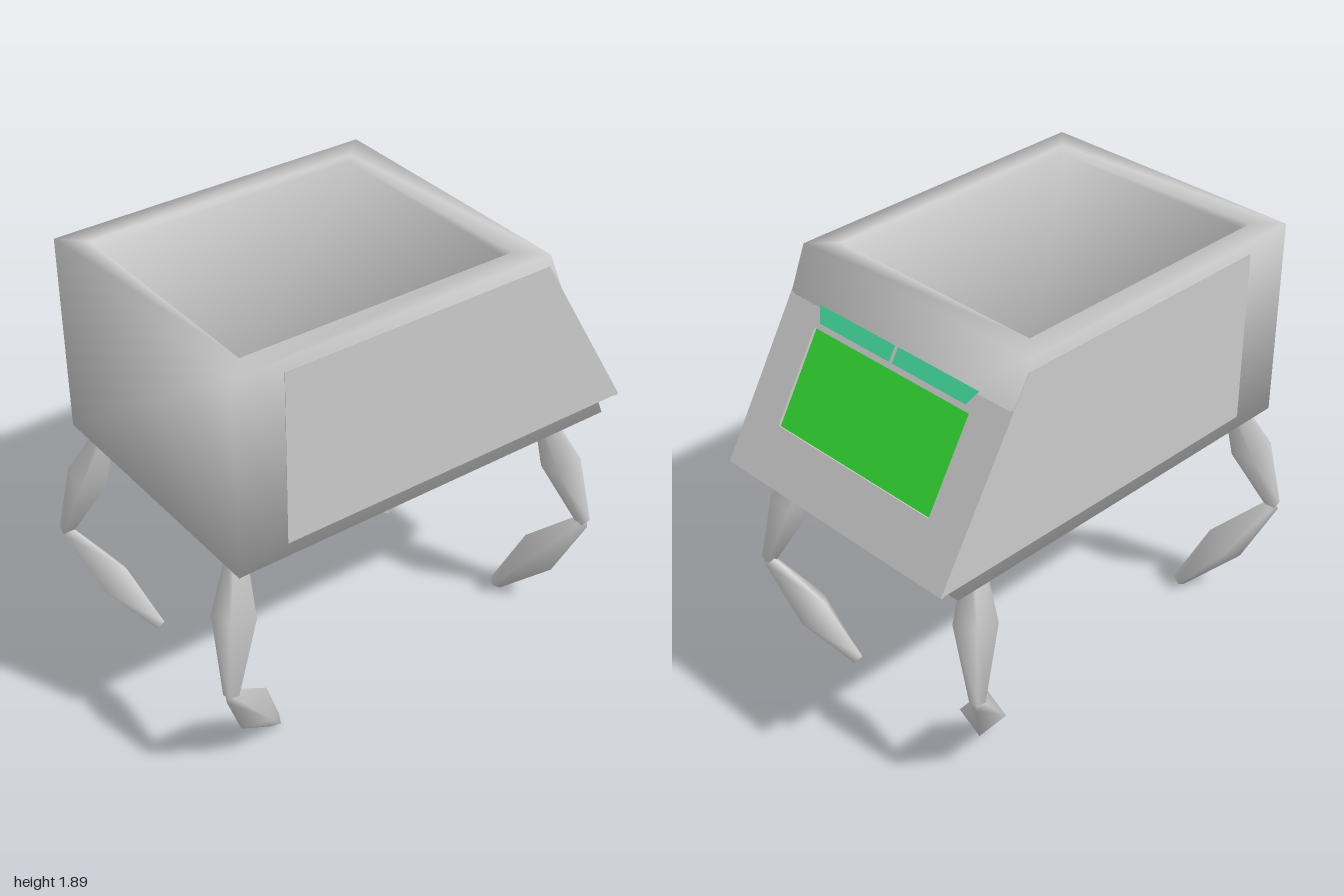
import * as THREE from 'three';

const mat = (color = 0xcccccc, side = THREE.FrontSide) =>
  new THREE.MeshStandardMaterial({ color, side });

function part(name, geometry, material, parent) {
  const mesh = new THREE.Mesh(geometry, material);
  mesh.name = name;
  parent.add(mesh);
  return mesh;
}

// Wedge-fronted body: four rectangular rings joined upward, then inward and down into a shallow tray.
// Corner normals are shared, so the shading runs softly round every edge.
function hullGeometry() {
  const rings = [ // x0, x1, half depth, y, outward tilt and lift of the corner normals
    [-0.9, 0.914, 0.613, 1.02, 1, -1],
    [-0.9, 0.552, 0.613, 1.89, 1, 1],
    [-0.8, 0.445, 0.512, 1.89, -0.3, 1],
    [-0.8, 0.445, 0.512, 1.855, -1, 1],
  ];
  const corners = [[-1, 1], [1, 1], [1, -1], [-1, -1]];
  const pos = [], normals = [], idx = [];
  for (const [x0, x1, z, y, tilt, lift] of rings) {
    for (const [sx, sz] of corners) {
      pos.push(sx < 0 ? x0 : x1, y, sz * z);
      normals.push(...new THREE.Vector3(sx * tilt, lift, sz * tilt).normalize().toArray());
    }
  }
  for (let r = 0; r < 3; r++) {
    for (let i = 0; i < 4; i++) {
      const a = r * 4 + i, b = r * 4 + (i + 1) % 4;
      idx.push(a, b, b + 4, a, b + 4, a + 4);
    }
  }
  idx.push(0, 2, 1, 0, 3, 2, 12, 13, 14, 12, 14, 15);
  const g = new THREE.BufferGeometry();
  g.setAttribute('position', new THREE.Float32BufferAttribute(pos, 3));
  g.setAttribute('normal', new THREE.Float32BufferAttribute(normals, 3));
  g.setIndex(idx);
  return g;
}

const polygon = (pts) => new THREE.Shape(pts.map(([x, y]) => new THREE.Vector2(x, y)));

// Extrusion of an x-y outline between two z positions
function slab(pts, z0, z1) {
  const g = new THREE.ExtrudeGeometry(polygon(pts), { depth: z1 - z0, bevelEnabled: false });
  return g.translate(0, 0, z0);
}

// Four-sided spindle from a to b, thick in the middle
function limb(name, a, b, rEnd, rMid, t, parent) {
  const dir = new THREE.Vector3().subVectors(b, a), len = dir.length();
  const profile = [[0, 0], [rEnd, 0], [rMid, len * t], [rEnd, len], [0, len]];
  const g = new THREE.LatheGeometry(
    profile.map(([x, y]) => new THREE.Vector2(x, y)), 4, Math.PI / 4);
  const mesh = part(name, g, mat(), parent);
  mesh.position.copy(a);
  mesh.quaternion.setFromUnitVectors(new THREE.Vector3(0, 1, 0), dir.normalize());
}

export function createModel() {
  const model = new THREE.Group();
  model.name = 'walkingTub';

  part('hull', hullGeometry(), mat(), model);

  // Side cladding, one plate on each flank
  const outline = [[-0.68, 1.08], [1, 1.08], [0.55, 1.84], [-0.68, 1.84]];
  part('leftSidePlate', slab(outline, 0.6, 0.615), mat(), model);
  part('rightSidePlate', slab(outline, -0.615, -0.6), mat(), model);

  // Filled nose behind the sloping front plate
  part('noseWedge', slab([[0.6, 1.08], [0.983, 1.08], [0.614, 1.7], [0.6, 1.7]], -0.61, 0.61),
    mat(), model);

  // Sloping front: local x runs across, local y up the slope, local z outward
  const front = new THREE.Group();
  front.name = 'slopingFront';
  const up = new THREE.Vector3(-0.45, 0.76, 0).normalize();
  const across = new THREE.Vector3(0, 0, -1);
  const out = new THREE.Vector3().crossVectors(across, up);
  front.quaternion.setFromRotationMatrix(new THREE.Matrix4().makeBasis(across, up, out));
  front.position.set(1, 1.08, 0);
  model.add(front);

  const s = (y) => (y - 1.08) / up.y; // height to distance along the slope
  const sLow = s(1.28), sHigh = s(1.637);
  const plate = polygon([[-0.614, 0], [0.614, 0], [0.614, s(1.705)], [-0.614, s(1.705)]]);
  plate.holes.push(polygon([[-0.43, sLow], [-0.43, sHigh], [0.43, sHigh], [0.43, sLow]]));
  part('frontPlate', new THREE.ExtrudeGeometry(plate, { depth: 0.014, bevelEnabled: false })
    .translate(0, 0, -0.014), mat(), front);

  // Recessed screen
  const screen = part('screen', new THREE.PlaneGeometry(0.86, sHigh - sLow),
    mat(0x33dd33, THREE.DoubleSide), front);
  screen.position.set(0, (sLow + sHigh) / 2, -0.012);

  // Pair of light strips above the screen
  for (const side of [-1, 1]) {
    const strip = polygon([[0.008, s(1.658)], [0.405, s(1.658)], [0.44, s(1.715)], [0.008, s(1.715)]]
      .map(([x, y]) => [x * side, y]));
    const mesh = part(side > 0 ? 'rightLightStrip' : 'leftLightStrip',
      new THREE.ShapeGeometry(strip), mat(0x44dd9f, THREE.DoubleSide), front);
    mesh.position.z = 0.004;
  }

  // Four two-part legs, each foot tucked in a little differently
  const legs = [ // name, hip x, knee x, side, foot
    ['frontLeftLeg', 0.695, 0.845, 1, [0.66, 0.022, 0.31]],
    ['backLeftLeg', 0.695, 0.845, -1, [0.55, 0.036, -0.385]],
    ['frontRightLeg', -0.815, -0.972, 1, [-0.645, 0.022, 0.44]],
    ['backRightLeg', -0.815, -0.972, -1, [-0.72, 0.036, -0.335]],
  ];
  for (const [name, hipX, kneeX, side, foot] of legs) {
    const leg = new THREE.Group();
    leg.name = name;
    const hip = new THREE.Vector3(hipX, 1.06, side * 0.47);
    const knee = new THREE.Vector3(kneeX, 0.49, side * 0.635);
    limb('upperLeg', hip, knee, 0.031, 0.088, 0.48, leg);
    limb('lowerLeg', knee, new THREE.Vector3(...foot), 0.031, 0.094, 0.5, leg);
    model.add(leg);
  }
  return model;
}
